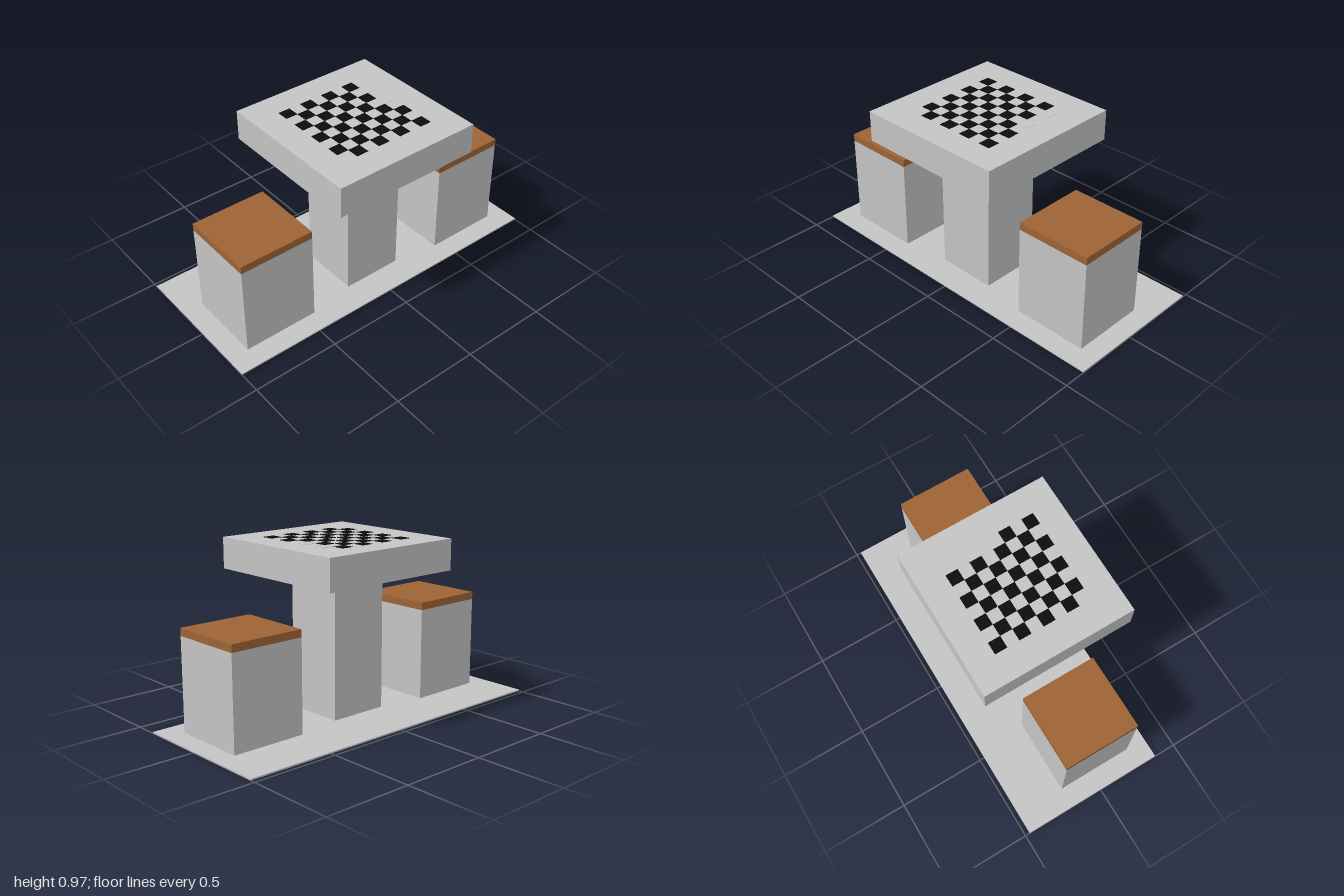
import * as THREE from 'three';

export function createModel() {
  const model = new THREE.Group();
  model.name = 'chessTable';

  const mat = (name, color) => {
    const m = new THREE.MeshStandardMaterial({ color });
    m.name = name;
    return m;
  };
  const concrete = mat('concrete', 0xc4c4c4);
  const wood = mat('wood', 0x9e6435);
  const black = mat('black', 0x0c0c0c);

  // Box given by its lower and upper limits on each axis
  const box = (name, material, [x0, x1], [y0, y1], [z0, z1], parent = model) => {
    const mesh = new THREE.Mesh(new THREE.BoxGeometry(x1 - x0, y1 - y0, z1 - z0), material);
    mesh.position.set((x0 + x1) / 2, (y0 + y1) / 2, (z0 + z1) / 2);
    mesh.name = name;
    parent.add(mesh);
  };

  // Ground slab and table
  box('baseSlab', concrete, [-0.473, 0.373], [0, 0.008], [-1, 1]);
  box('tableColumn', concrete, [-0.142, 0.207], [0.008, 0.795], [-0.178, 0.173]);
  box('tableTop', concrete, [-0.405, 0.471], [0.795, 0.97], [-0.445, 0.432]);

  // Two stools with wooden seats
  for (const [side, z] of [['front', [0.445, 0.882]], ['back', [-0.884, -0.445]]]) {
    const stool = new THREE.Group();
    stool.name = side + 'Stool';
    box('stoolBlock', concrete, [-0.187, 0.251], [0.008, 0.532], z, stool);
    box('seat', wood, [-0.187, 0.251], [0.532, 0.575], z, stool);
    model.add(stool);
  }

  // Checkerboard: thin dark tiles on alternate squares, two of them left plain
  const board = new THREE.Group();
  board.name = 'checkerboard';
  const size = 0.0705;
  for (let row = 0; row < 8; row++) {
    for (let col = (row + 1) % 2; col < 8; col += 2) {
      const x = -0.249 + col * size;
      const z = -0.289 + row * 0.0702;
      const plain = row === 0 && col < 4;
      box(plain ? 'plainTile' : 'darkTile', plain ? concrete : black,
        [x, x + size], [0.969, 0.9715], [z, z + 0.0702], board);
    }
  }
  model.add(board);

  return model;
}
